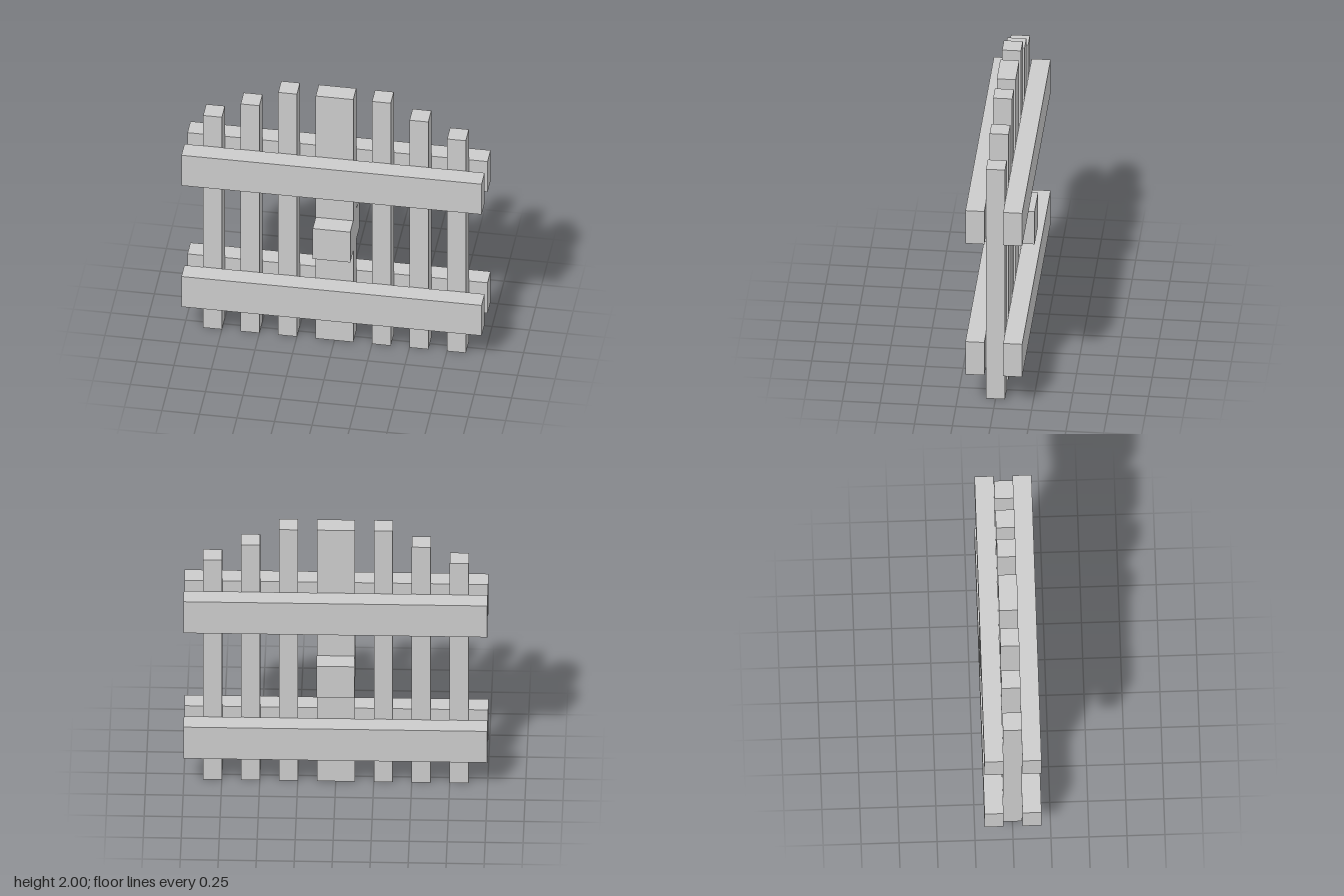
import * as THREE from 'three';

const T = 0.125; // timber thickness

export function createModel() {
  const model = new THREE.Group();
  model.name = 'gate';
  const wood = new THREE.MeshStandardMaterial({ color: 0xcccccc, flatShading: true });

  // Box placed by its centre x, bottom y and centre z
  const plank = (name, w, h, x, y, z) => {
    const mesh = new THREE.Mesh(new THREE.BoxGeometry(w, h, T), wood);
    mesh.name = name;
    mesh.position.set(x, y + h / 2, z);
    model.add(mesh);
  };

  // Wide middle board
  plank('centreBoard', 0.25, 2, 0, 0, 0);

  // Pickets, stepping down towards both sides
  [[0.3125, 2], [0.5625, 1.875], [0.8125, 1.75]].forEach(([x, h], i) => {
    plank(`leftPicket${i + 1}`, T, h, x, 0, 0);
    plank(`rightPicket${i + 1}`, T, h, -x, 0, 0);
  });

  // Cross rails and handle blocks on both faces
  for (const [side, z] of [['front', T], ['back', -T]]) {
    plank(`${side}LowerRail`, 2, 0.25, 0, 0.25, z);
    plank(`${side}UpperRail`, 2, 0.25, 0, 1.25, z);
    plank(`${side}Handle`, 0.25, 0.25, 0, 0.75, z);
  }
  return model;
}
